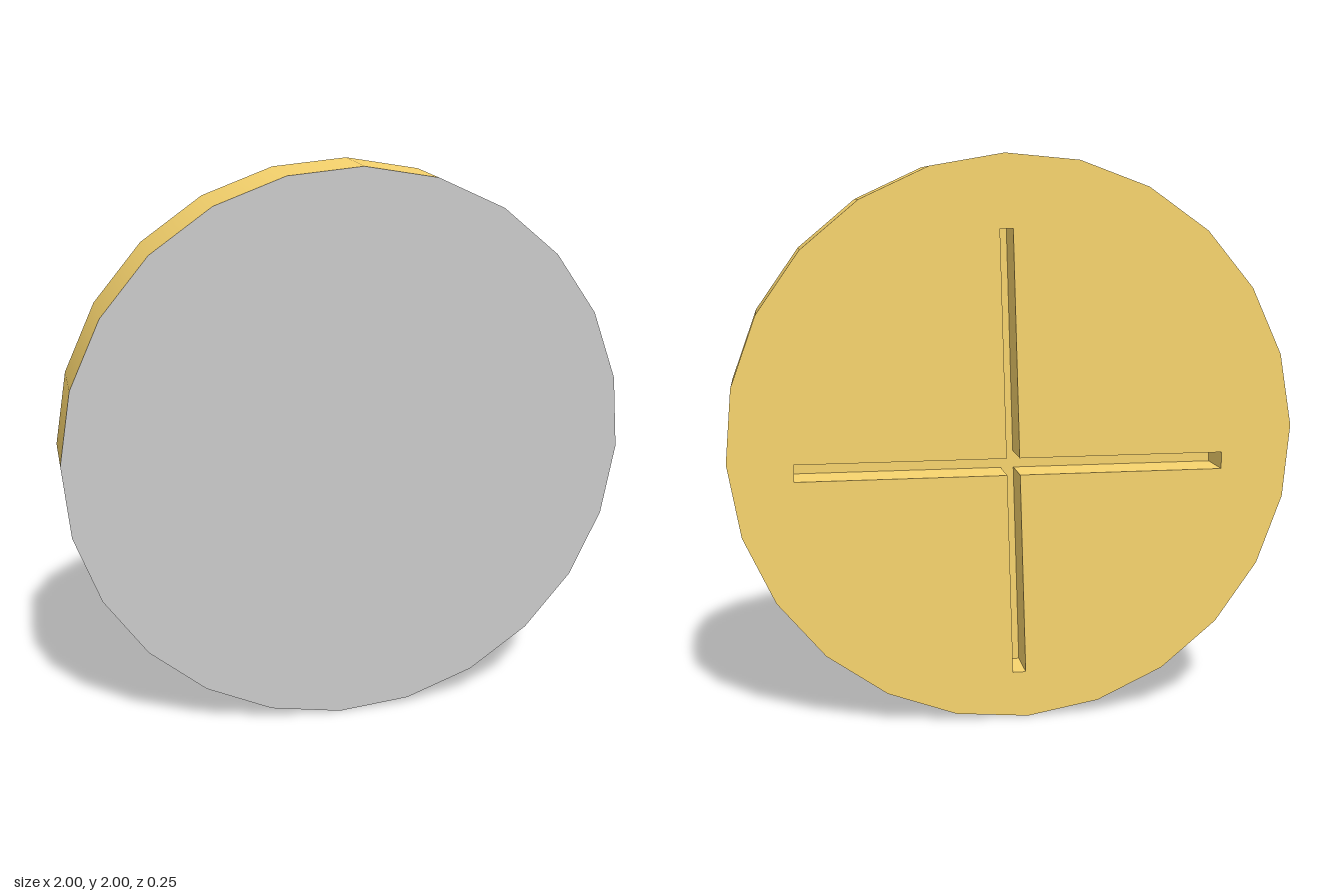
import * as THREE from 'three';

const SIDES = 24, R = 1.001, HALF = 0.125, TURN = -0.042;
const SLOT_FLOOR = -0.025; // local depth of the slot bottom, the back face is at +HALF

// Cross outline (counter-clockwise), seen from the back: a level slot and a slightly leaning one
function crossOutline() {
  const top = 0.747, bottom = -0.833, upper = -0.05, lower = -0.11;
  const left = -0.773, right = 0.745, w = 0.023;
  const lean = (y, side) => new THREE.Vector2(-0.013 - 0.029 * (y + 0.043) + side * w, y);
  const p = (x, y) => new THREE.Vector2(x, y);
  return [
    lean(bottom, -1), lean(bottom, 1), lean(lower, 1), p(right, lower),
    p(right, upper), lean(upper, 1), lean(top, 1), lean(top, -1),
    lean(upper, -1), p(left, upper), p(left, lower), lean(lower, -1),
  ];
}

// Inward-facing walls along a closed outline
function wallGeometry(outline, z0, z1) {
  const pos = [];
  outline.forEach((a, i) => {
    const b = outline[(i + 1) % outline.length];
    const a0 = [a.x, a.y, z0], a1 = [a.x, a.y, z1], b0 = [b.x, b.y, z0], b1 = [b.x, b.y, z1];
    pos.push(...a0, ...a1, ...b1, ...a0, ...b1, ...b0);
  });
  const g = new THREE.BufferGeometry();
  g.setAttribute('position', new THREE.Float32BufferAttribute(pos, 3));
  g.computeVertexNormals();
  return g;
}

export function createModel() {
  const group = new THREE.Group();
  const gold = new THREE.MeshStandardMaterial({ color: 0xf9d56e });
  const grey = new THREE.MeshStandardMaterial({ color: 0xcccccc });
  const add = (parent, name, geometry, material) => {
    const mesh = new THREE.Mesh(geometry, material);
    mesh.name = name;
    parent.add(mesh);
  };

  const disc = new THREE.Group();
  disc.name = 'disc';
  disc.position.y = 1;
  group.add(disc);

  // Smooth rim and grey front face
  add(disc, 'rim', new THREE.CylinderGeometry(R, R, 2 * HALF, SIDES, 1, true)
    .rotateX(Math.PI / 2).rotateZ(TURN), gold);
  add(disc, 'frontFace', new THREE.CircleGeometry(R, SIDES)
    .rotateZ(TURN).translate(0, 0, HALF), grey);

  // Back side, modelled facing +z and turned around
  const back = new THREE.Group();
  back.name = 'back';
  back.rotation.y = Math.PI;
  disc.add(back);

  const outline = crossOutline();
  const plate = new THREE.Shape(Array.from({ length: SIDES }, (_, i) => {
    const a = (i / SIDES) * 2 * Math.PI - TURN;
    return new THREE.Vector2(R * Math.cos(a), R * Math.sin(a));
  }));
  plate.holes.push(new THREE.Path(outline));
  add(back, 'backFace', new THREE.ShapeGeometry(plate).translate(0, 0, HALF), gold);

  // Recessed crossed slots
  add(back, 'slotWalls', wallGeometry(outline, SLOT_FLOOR, HALF), gold);
  add(back, 'slotFloor', new THREE.ShapeGeometry(new THREE.Shape(outline))
    .translate(0, 0, SLOT_FLOOR), gold);

  return group;
}
